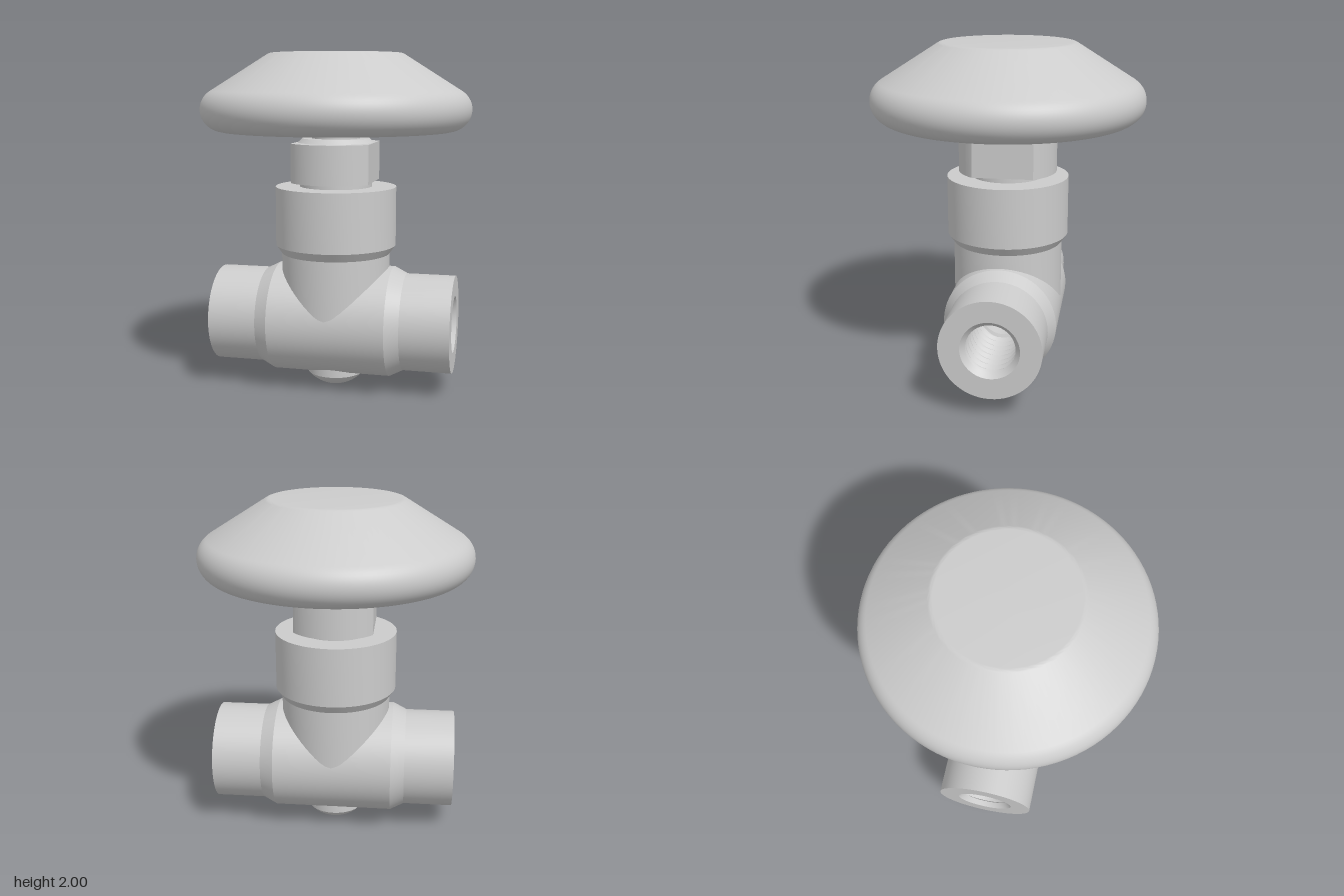
import * as THREE from 'three';
import { toCreasedNormals } from 'three/addons/utils/BufferGeometryUtils.js';

const material = new THREE.MeshStandardMaterial({ color: 0xcccccc });
const AXIS_Y = 0.41; // height of the pipe axis

function part(name, geometry) {
  const mesh = new THREE.Mesh(toCreasedNormals(geometry, 0.4), material);
  mesh.name = name;
  return mesh;
}

function lathe(points, segments = 64) {
  return new THREE.LatheGeometry(points.map(([r, y]) => new THREE.Vector2(r, y)), segments);
}

// Points [r, y] along a circular arc, from angle a to angle b
function arc(r, y, radius, a, b, steps) {
  return Array.from({ length: steps + 1 }, (_, i) => {
    const t = a + (b - a) * i / steps;
    return [Math.max(0, r + radius * Math.cos(t)), y + radius * Math.sin(t)];
  });
}

// Move every vertex by a rule
function reshape(geometry, rule) {
  const p = geometry.attributes.position, v = new THREE.Vector3();
  for (let i = 0; i < p.count; i++) {
    rule(v.fromBufferAttribute(p, i));
    p.setXYZ(i, v.x, v.y, v.z);
  }
  return geometry;
}

// Through bore with a helical thread at each end
function boreGeometry() {
  const end = 0.69, threadStart = 0.2, pitch = 0.06, steps = 184;
  const points = Array.from({ length: steps + 1 }, (_, i) => [0.14, end - 2 * end * i / steps]);
  return reshape(lathe(points, 48), (v) => {
    const depth = Math.abs(v.y);
    if (depth < threadStart || depth > end - 0.001) return;
    const turn = v.y / pitch + Math.atan2(v.z, v.x) / (2 * Math.PI);
    const wave = 1 - Math.abs(2 * (turn - Math.floor(turn)) - 1);
    v.x *= 1 + 0.17 * wave;
    v.z *= 1 + 0.17 * wave;
  });
}

// Round nut with two flats facing left and right
function nutGeometry() {
  const radius = 0.29, a = Math.acos(0.23 / radius);
  const shape = new THREE.Shape();
  shape.absarc(0, 0, radius, a, Math.PI - a, false);
  shape.absarc(0, 0, radius, Math.PI + a, 2 * Math.PI - a, false);
  shape.closePath();
  return new THREE.ExtrudeGeometry(shape, { depth: 0.23, bevelEnabled: false, curveSegments: 24 })
    .rotateX(-Math.PI / 2).translate(0, 1.25, 0);
}

export function createModel() {
  const model = new THREE.Group();
  model.name = 'valve';

  // Horizontal pipe body, thicker in the middle, with countersunk mouths
  const body = new THREE.Group();
  body.name = 'pipeBody';
  body.position.y = AXIS_Y;
  body.rotation.z = -Math.PI / 2;
  body.add(part('pipeShell', lathe([
    [0.14, -0.69], [0.168, -0.72], [0.29, -0.72], [0.29, -0.43], [0.33, -0.35],
    [0.33, 0.35], [0.29, 0.43], [0.29, 0.72], [0.168, 0.72], [0.14, 0.69],
  ])));
  body.add(part('threadedBore', boreGeometry()));
  model.add(body);

  // Bonnet, its lower rim saddled onto the pipe so that the bore stays clear
  const bonnet = lathe([[0.325, 0], [0.325, 0.82], [0.36, 0.87], [0.36, 1.22], [0, 1.22]]);
  model.add(part('bonnet', reshape(bonnet, (v) => {
    if (v.y < 0.1) v.y = AXIS_Y + Math.sqrt(Math.max(0, 0.32 ** 2 - v.z ** 2));
  })));

  // Neck, packing nut and stem
  model.add(part('neck', lathe([[0.215, 1.21], [0.215, 1.26]])));
  model.add(part('packingNut', nutGeometry()));
  model.add(part('nutCollar', lathe([[0.225, 1.475], [0.225, 1.48], [0.2, 1.505], [0, 1.505]])));
  model.add(part('stem', lathe([[0.143, 1.49], [0.143, 1.56]])));

  // Domed plug under the body
  model.add(part('bottomPlug', lathe([
    ...arc(0, 0.22, 0.22, -Math.PI / 2, -0.69, 10), [0.17, 0.2],
  ], 48)));

  // Handwheel with rounded rim, conical shoulder and flat top
  model.add(part('handwheel', lathe([
    [0, 1.55], ...arc(0.67, 1.675, 0.125, -Math.PI / 2, 1.0, 18),
    ...arc(0.375, 1.95, 0.05, 1.0, Math.PI / 2, 4), [0, 2],
  ], 96)));

  return model;
}
